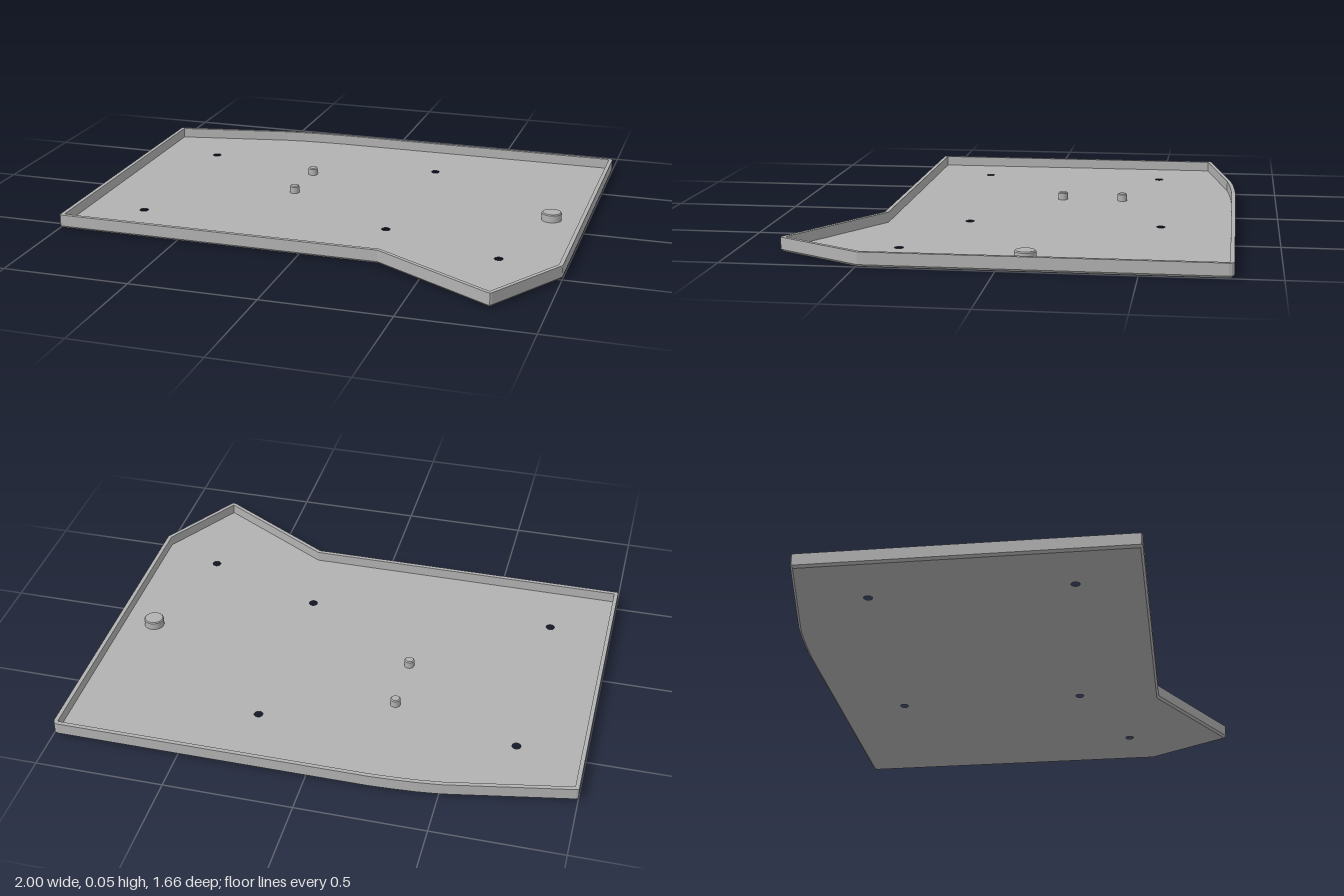
import * as THREE from 'three';

// Plan outline as [x, z], starting at the back right and running along the back edge
const OUTLINE = [
  [-1, -0.712], [-0.992, -0.717], [-0.507, -0.81], [-0.42, -0.82], [-0.33, -0.826], [-0.24, -0.83],
  [0.98, -0.83], [0.99, -0.827], [0.997, -0.82], [1, -0.81],
  [1, 0.493], [0.806, 0.822], [0.8, 0.827], [0.79, 0.825],
  [0.312, 0.546], [-0.995, 0.546], [-1, 0.541],
];
const HEIGHT = 0.055, FLOOR = 0.014, WALL = 0.016, CHAMFER = 0.009;
const HOLES = [[-0.735, -0.487], [0.267, -0.543], [-0.75, 0.287], [0.253, 0.214], [0.743, 0.396]];

// Mitred inward offset of the outline
function inset(d) {
  const n = OUTLINE.length;
  const normal = (a, b) => new THREE.Vector2(a[1] - b[1], b[0] - a[0]).normalize();
  return OUTLINE.map((p, i) => {
    const n1 = normal(OUTLINE[(i + n - 1) % n], p);
    const n2 = normal(p, OUTLINE[(i + 1) % n]);
    const k = d / (1 + n1.dot(n2));
    return [p[0] + (n1.x + n2.x) * k, p[1] + (n1.y + n2.y) * k];
  });
}

// Rim: a cross-section of [inset, y] carried round the outline
function rimGeometry() {
  const section = [[CHAMFER, 0], [0, CHAMFER], [0, HEIGHT], [WALL, HEIGHT], [WALL, FLOOR]];
  const loops = section.map(([d, y]) => inset(d).map(([x, z]) => [x, y, z]));
  const pos = [];
  for (let s = 0; s < loops.length - 1; s++) {
    for (let i = 0; i < OUTLINE.length; i++) {
      const j = (i + 1) % OUTLINE.length;
      const a = loops[s][i], b = loops[s][j], c = loops[s + 1][j], d = loops[s + 1][i];
      pos.push(...a, ...d, ...c, ...a, ...c, ...b);
    }
  }
  const g = new THREE.BufferGeometry();
  g.setAttribute('position', new THREE.Float32BufferAttribute(pos, 3));
  g.computeVertexNormals();
  return g;
}

// Floor plate with round screw holes
function floorGeometry() {
  const shape = new THREE.Shape(inset(CHAMFER).map(([x, z]) => new THREE.Vector2(x, -z)));
  for (const [x, z] of HOLES) {
    shape.holes.push(new THREE.Path().absarc(x, -z, 0.017, 0, Math.PI * 2, true));
  }
  const g = new THREE.ExtrudeGeometry(shape, { depth: FLOOR, bevelEnabled: false, curveSegments: 16 });
  return g.rotateX(-Math.PI / 2);
}

export function createModel() {
  const model = new THREE.Group();
  model.name = 'trayPanel';
  const grey = new THREE.MeshStandardMaterial({ color: 0xb2b2b2 });
  grey.name = 'grey';

  const add = (name, geometry) => {
    const mesh = new THREE.Mesh(geometry, grey);
    mesh.name = name;
    model.add(mesh);
    return mesh;
  };
  add('floor', floorGeometry());
  add('rim', rimGeometry());

  // Locating pegs with a small chamfer at the top
  const addPeg = (name, x, z, r, top) => {
    const c = 0.004, base = FLOOR - 0.004;
    const body = new THREE.CylinderGeometry(r, r, top - c - base, 32, 1, true);
    body.translate(0, (top - c + base) / 2, 0);
    add(name, body).position.set(x, 0, z);
    const cap = new THREE.CylinderGeometry(r - c, r, c, 32);
    cap.translate(0, top - c / 2, 0);
    add(name + 'Top', cap).position.set(x, 0, z);
  };
  addPeg('backPeg', -0.235, -0.356, 0.02, 0.045);
  addPeg('frontPeg', -0.235, -0.104, 0.02, 0.045);
  addPeg('largePeg', 0.858, -0.088, 0.04, 0.047);
  return model;
}
